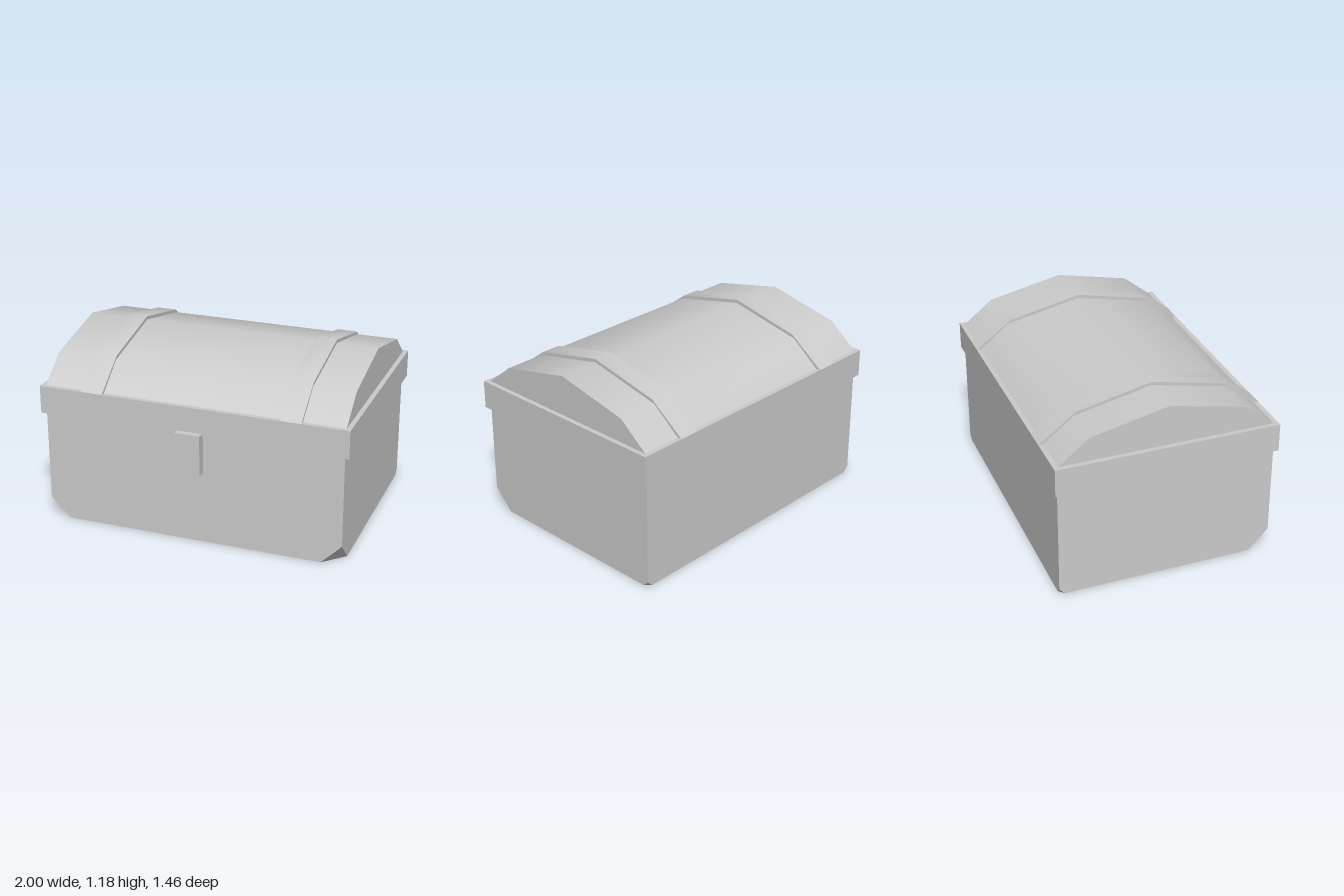
import * as THREE from 'three';
import { toCreasedNormals } from 'three/addons/utils/BufferGeometryUtils.js';
import { ConvexGeometry } from 'three/addons/geometries/ConvexGeometry.js';

const material = new THREE.MeshStandardMaterial({ color: 0xcccccc });

function addPart(group, name, geometry) {
  const mesh = new THREE.Mesh(geometry, material);
  mesh.name = name;
  group.add(mesh);
  return mesh;
}

// Extrudes a [z, y] profile along x, with smooth shading over the arch and sharp ends
function arch(profile, x0, x1) {
  const shape = new THREE.Shape(profile.map(([z, y]) => new THREE.Vector2(-z, y)));
  const geometry = new THREE.ExtrudeGeometry(shape, { depth: x1 - x0, bevelEnabled: false });
  geometry.rotateY(Math.PI / 2).translate(x0, 0, 0);
  return toCreasedNormals(geometry, Math.PI / 4);
}

export function createModel() {
  const chest = new THREE.Group();
  chest.name = 'chest';

  // Body: a box with its bottom corners cut off, large in front and small behind
  const w = 0.97, top = 0.72;
  const points = [];
  for (const s of [-1, 1]) {
    for (const [z, cut] of [[0.67, 0.13], [-0.71, 0.035]]) {
      points.push(
        new THREE.Vector3(s * w, top, z),
        new THREE.Vector3(s * w, cut, z),
        new THREE.Vector3(s * (w - cut), 0, z),
        new THREE.Vector3(s * w, 0, z - Math.sign(z) * cut)
      );
    }
  }
  addPart(chest, 'body', new ConvexGeometry(points));

  // Rim around the lid's lower edge
  addPart(chest, 'rim', new THREE.BoxGeometry(2, 0.18, 1.42)).position.set(0, 0.81, -0.02);

  // Arched lid
  addPart(chest, 'lid', arch(
    [[0.66, 0.9], [0.47, 1.052], [-0.02, 1.158], [-0.51, 1.052], [-0.70, 0.9]], -w, w));

  // Two straps over the lid
  const strap = [[0.69, 0.9], [0.458, 1.075], [-0.02, 1.18], [-0.496, 1.075], [-0.73, 0.9]];
  addPart(chest, 'leftStrap', arch(strap, 0.575, 0.705));
  addPart(chest, 'rightStrap', arch(strap, -0.705, -0.575));

  // Latch with a chamfered lower end
  const latch = new THREE.Shape([
    [-0.08, 0.74], [-0.08, 0.475], [-0.035, 0.43], [0.035, 0.43], [0.08, 0.475], [0.08, 0.74]
  ].map(([x, y]) => new THREE.Vector2(x, y)));
  addPart(chest, 'latch', new THREE.ExtrudeGeometry(latch, { depth: 0.06, bevelEnabled: false }))
    .position.z = 0.67;

  return chest;
}
